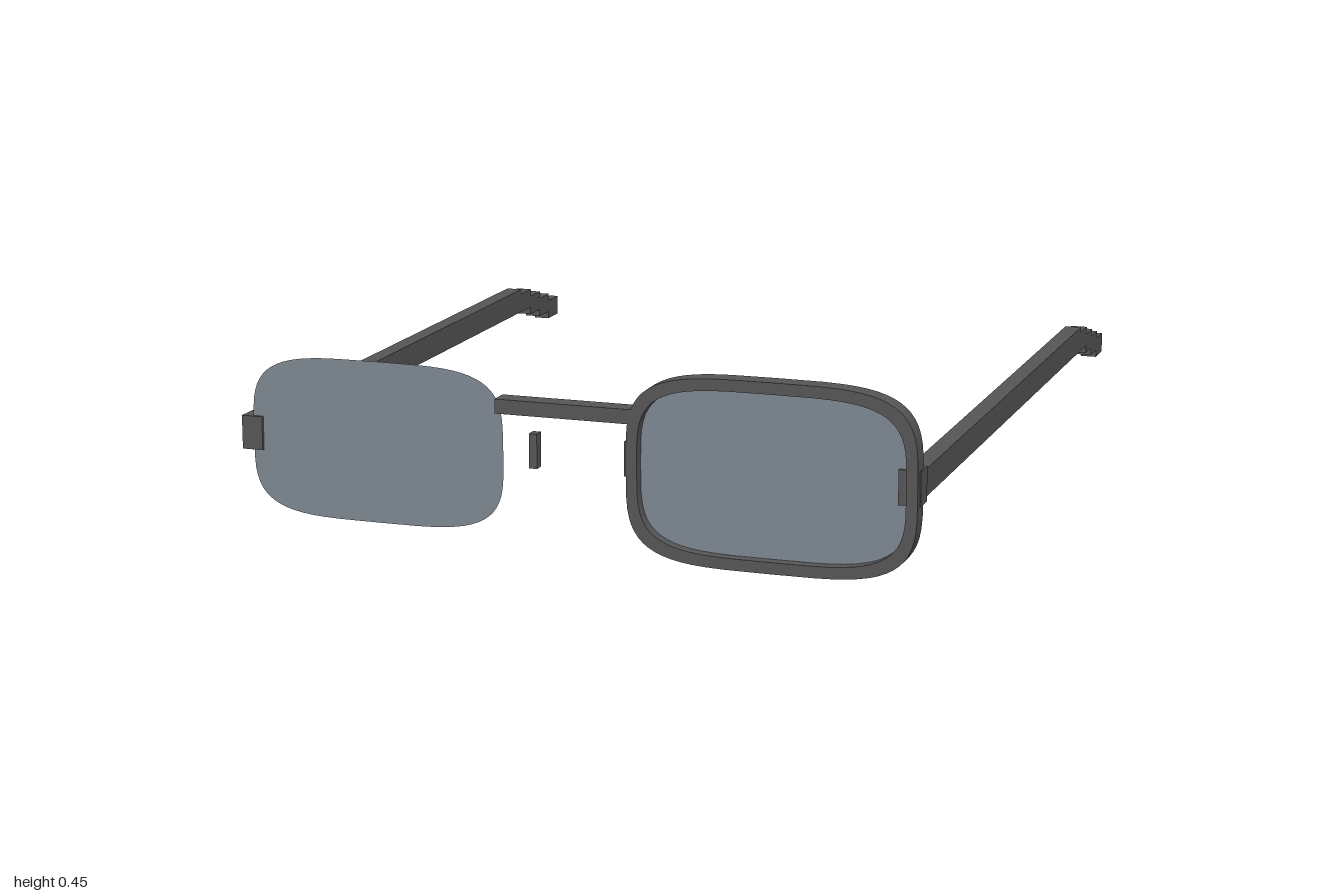
import * as THREE from 'three';

// Rounded-rectangle outline (superellipse)
function outline(halfW, halfH, n = 4, count = 64) {
  const pts = [];
  for (let i = 0; i < count; i++) {
    const a = (i / count) * Math.PI * 2;
    const c = Math.cos(a), s = Math.sin(a);
    pts.push(new THREE.Vector2(
      halfW * Math.sign(c) * Math.pow(Math.abs(c), 2 / n),
      halfH * Math.sign(s) * Math.pow(Math.abs(s), 2 / n)));
  }
  return pts;
}

export function createModel() {
  const group = new THREE.Group();
  group.name = 'eyeglasses';
  const frameMat = new THREE.MeshStandardMaterial({ color: 0x555555 });
  frameMat.name = 'dark grey frame';
  const lensMat = new THREE.MeshStandardMaterial({ color: 0x7c8690, side: THREE.DoubleSide });
  lensMat.name = 'blue grey lens';

  const add = (name, geo, mat, x = 0, y = 0, z = 0) => {
    const m = new THREE.Mesh(geo, mat);
    m.name = name;
    m.position.set(x, y, z);
    group.add(m);
  };
  // Box given by its extents
  const box = (name, x0, x1, y0, y1, z0, z1) =>
    add(name, new THREE.BoxGeometry(Math.abs(x1 - x0), y1 - y0, z1 - z0), frameMat,
      (x0 + x1) / 2, (y0 + y1) / 2, (z0 + z1) / 2);

  // Rim, on the left side only
  const rim = new THREE.Shape(outline(0.35, 0.226));
  rim.holes.push(new THREE.Path(outline(0.323, 0.198)));
  add('leftRim', new THREE.ExtrudeGeometry(rim, { depth: 0.05, bevelEnabled: false }),
    frameMat, 0.496, 0.228, 0.95);

  // Bridge
  box('bridge', -0.18, 0.16, 0.33, 0.365, 0.95, 1.0);

  for (const [side, s] of [['left', 1], ['right', -1]]) {
    add(side + 'Lens', new THREE.ShapeGeometry(new THREE.Shape(outline(0.325, 0.198))),
      lensMat, s * 0.496, 0.228, 0.972);
    box(side + 'NosePad', s * 0.11, s * 0.13, 0.18, 0.265, 0.885, 0.912);
    box(side + 'Hinge', s * 0.795, s * 0.848, 0.187, 0.27, 0.925, 0.98);
    box(side + 'Temple', s * 0.802, s * 0.845, 0.196, 0.262, -0.715, 0.94);
    // Stepped ear tip
    for (let i = 0; i < 4; i++) {
      const z = -0.72 - i * 0.07, y = 0.248 - i * 0.02;
      box(side + 'EarTip' + (i + 1), s * 0.802, s * 0.845, y - 0.053, y, z - 0.07, z + 0.005);
    }
  }
  return group;
}
